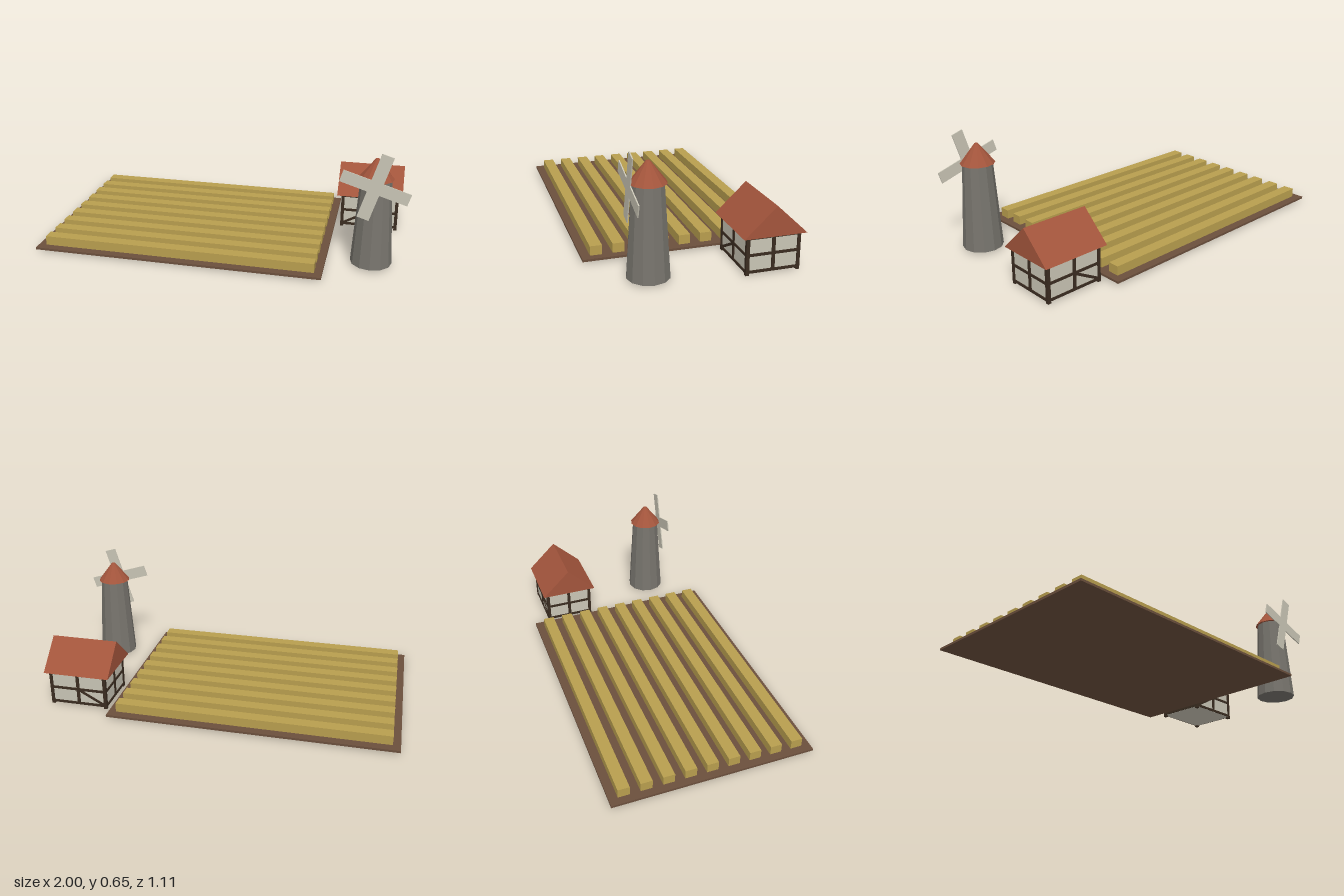
import * as THREE from 'three';

const material = (name, color, flatShading = false) => {
  const m = new THREE.MeshStandardMaterial({ color, flatShading });
  m.name = name;
  return m;
};

export function createModel() {
  const soil = material('soil brown', 0x6b4f3c);
  const crop = material('crop gold', 0xb89e4e);
  const stone = material('tower stone', 0x77746d, true);
  const tile = material('roof tile', 0xa3553c, true);
  const plaster = material('plaster and canvas', 0xc9c5b5);
  const timber = material('dark timber', 0x3a2c20);

  const model = new THREE.Group();
  model.name = 'farmWithWindmill';

  const add = (parent, name, geometry, mat, x, y, z) => {
    const mesh = new THREE.Mesh(geometry, mat);
    mesh.name = name;
    mesh.position.set(x, y, z);
    parent.add(mesh);
    return mesh;
  };
  const box = (parent, name, mat, w, h, d, x, y, z) =>
    add(parent, name, new THREE.BoxGeometry(w, h, d), mat, x, y, z);
  const group = (name, x, y, z) => {
    const g = new THREE.Group();
    g.name = name;
    g.position.set(x, y, z);
    model.add(g);
    return g;
  };

  // Field with nine crop rows
  const field = group('field', -0.21, 0, 0);
  box(field, 'soilBed', soil, 1.58, 0.012, 1.105, 0, 0.016, -0.002);
  for (let i = 0; i < 9; i++) {
    box(field, 'cropRow', crop, 1.497, 0.053, 0.063, 0, 0.0465, -0.476 + i * 0.1185);
  }

  // Windmill tower and cap
  const mill = group('windmill', 0.815, 0, 0.278);
  add(mill, 'tower', new THREE.CylinderGeometry(0.08, 0.11, 0.475, 12), stone, 0, 0.2475, 0);
  add(mill, 'cap', new THREE.CylinderGeometry(0.01, 0.093, 0.107, 12), tile, 0, 0.5385, 0);

  // Sails: one cross-shaped plate
  const L = 0.181, w = 0.0325;
  const cross = new THREE.Shape();
  for (let i = 0; i < 4; i++) {
    const c = Math.round(Math.cos(i * Math.PI / 2)), s = Math.round(Math.sin(i * Math.PI / 2));
    for (const [a, b] of [[w, -w], [L, -w], [L, w]]) {
      const x = a * c - b * s, y = a * s + b * c;
      if (i === 0 && a === w) cross.moveTo(x, y);
      else cross.lineTo(x, y);
    }
  }
  cross.closePath();
  const sails = add(mill, 'sails',
    new THREE.ExtrudeGeometry(cross, { depth: 0.006, bevelEnabled: false }), plaster, 0, 0.468, 0.092);
  sails.rotation.z = -0.3;

  // House walls
  const house = group('house', 0.775, 0, -0.318);
  const hx = 0.16, hz = 0.138, low = 0.01, high = 0.2;
  box(house, 'walls', plaster, hx * 2, high - low, hz * 2, 0, (high + low) / 2, 0);

  // Corner posts
  for (const sx of [-1, 1]) for (const sz of [-1, 1]) {
    box(house, 'cornerPost', timber, 0.018, high, 0.018, sx * (hx - 0.004), high / 2, sz * (hz - 0.004));
  }

  // Rails and middle posts on all four sides
  for (const s of [-1, 1]) {
    for (const y of [0.0175, 0.105, 0.193]) {
      box(house, 'longRail', timber, hx * 2, 0.014, 0.01, 0, y, s * hz);
      box(house, 'endRail', timber, 0.01, 0.014, hz * 2, s * hx, y, 0);
    }
    box(house, 'longMiddlePost', timber, 0.018, 0.185, 0.01, 0, 0.105, s * hz);
    box(house, 'endMiddlePost', timber, 0.01, 0.185, 0.018, s * hx, 0.105, 0);
    // Diagonal brace in the lower panel
    const brace = box(house, 'brace', timber, 0.155, 0.014, 0.008, -0.077, 0.061, s * hz);
    brace.rotation.z = 0.5;
  }

  // Gabled roof, ridge along x
  const gable = new THREE.Shape();
  gable.moveTo(-0.165, 0);
  gable.lineTo(0.165, 0);
  gable.lineTo(0, 0.156);
  gable.closePath();
  const roof = new THREE.ExtrudeGeometry(gable, { depth: 0.375, bevelEnabled: false });
  roof.translate(0, 0, -0.1875);
  roof.rotateY(Math.PI / 2);
  add(house, 'roof', roof, tile, -0.002, 0.199, 0);

  return model;
}
